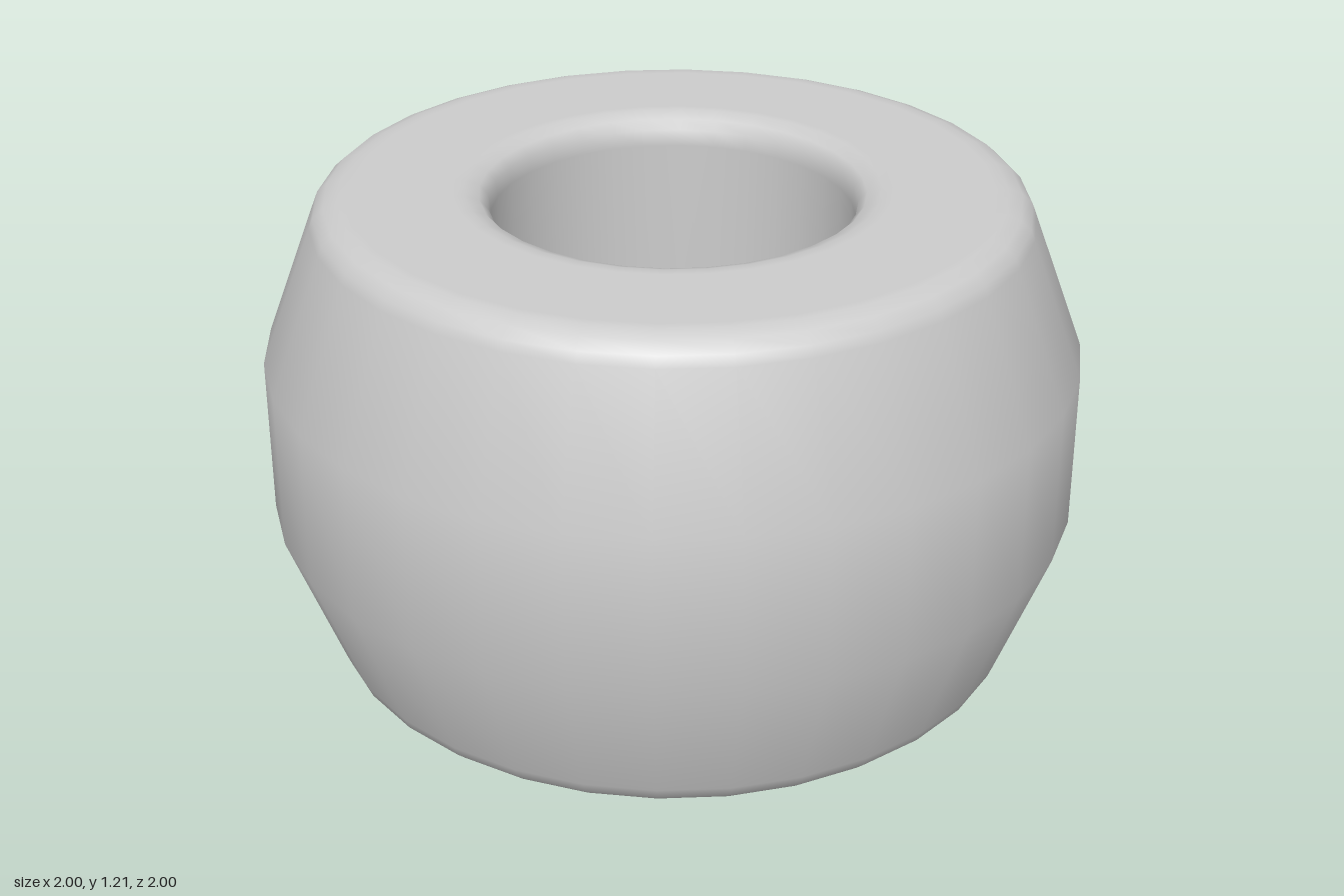
import * as THREE from 'three';

const HEIGHT = 1.206;

export function createModel() {
  const group = new THREE.Group();

  // Upper half of the ring's section, from the outer belt over the top to the bore.
  // Points close to the bevels keep the shading of the flats even.
  const upper = [
    [1, 0.8], [0.87, 1.145], [0.86, 1.17], [0.835, 1.193], [0.8, HEIGHT],
    [0.775, HEIGHT], [0.525, HEIGHT], [0.5, HEIGHT], [0.465, 1.193],
    [0.445, 1.17], [0.44, 1.13], [0.44, HEIGHT / 2],
  ].map(([r, y]) => new THREE.Vector2(r, y));

  // Mirror it for the lower half, starting and ending mid-bore.
  const lower = upper.map((p) => new THREE.Vector2(p.x, HEIGHT - p.y)).reverse();

  const ring = new THREE.Mesh(
    new THREE.LatheGeometry([...lower, ...upper], 32),
    new THREE.MeshStandardMaterial({ color: 0xcccccc })
  );
  ring.name = 'ringBead';
  group.add(ring);
  return group;
}
